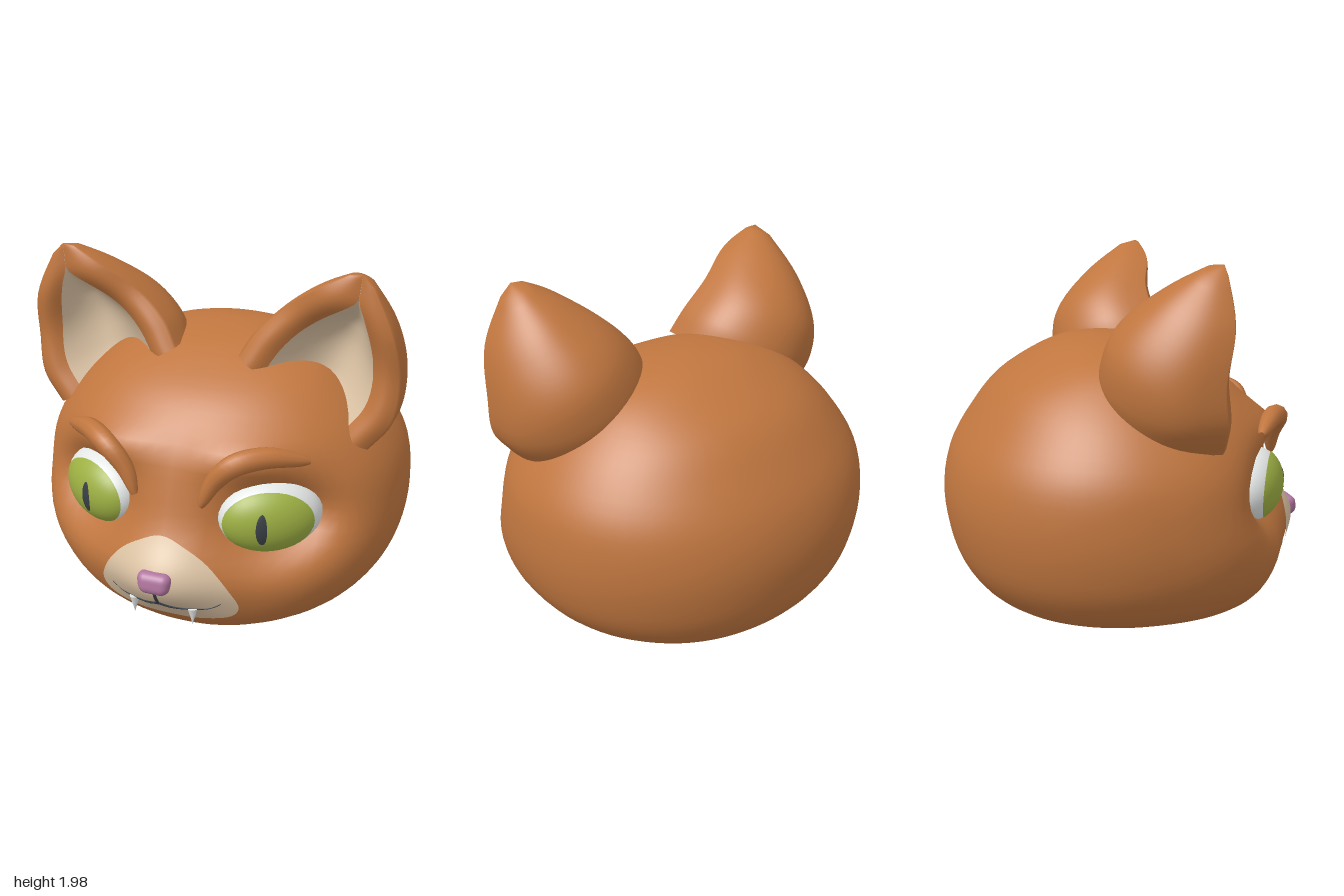
import * as THREE from 'three';
import { mergeVertices } from 'three/addons/utils/BufferGeometryUtils.js';
import { RoundedBoxGeometry } from 'three/addons/geometries/RoundedBoxGeometry.js';

const V = (x, y, z) => new THREE.Vector3(x, y, z);
const spline = (pts) => new THREE.CatmullRomCurve3(pts.map((p) => V(...p)));

function material(name, color) {
  const m = new THREE.MeshStandardMaterial({ color });
  m.name = name;
  return m;
}

// Weld seams and smooth the normals
function smooth(geo) {
  geo.deleteAttribute('uv');
  geo.deleteAttribute('normal');
  const g = mergeVertices(geo, 1e-5);
  g.computeVertexNormals();
  return g;
}

// Surface from rows and columns of points; faces (column step) x (row step)
function grid(rows, cols, fn) {
  const pos = [], idx = [];
  for (let i = 0; i <= rows; i++)
    for (let j = 0; j <= cols; j++) pos.push(...fn(i / rows, j / cols).toArray());
  for (let i = 0; i < rows; i++)
    for (let j = 0; j < cols; j++) {
      const a = i * (cols + 1) + j, d = a + cols + 1;
      idx.push(a, a + 1, d + 1, a, d + 1, d);
    }
  const g = new THREE.BufferGeometry();
  g.setAttribute('position', new THREE.Float32BufferAttribute(pos, 3));
  g.setIndex(idx);
  return smooth(g);
}

// Mirrored copy across x = 0 with corner order restored
function mirrored(geo) {
  const g = geo.clone().toNonIndexed();
  for (const key of ['position', 'normal']) {
    const a = g.attributes[key];
    for (let i = 0; i < a.count; i++) a.setX(i, -a.getX(i));
    for (let i = 0; i < a.count; i += 3) {
      const p = V().fromBufferAttribute(a, i + 1), q = V().fromBufferAttribute(a, i + 2);
      a.setXYZ(i + 1, q.x, q.y, q.z);
      a.setXYZ(i + 2, p.x, p.y, p.z);
    }
  }
  return g;
}

// Tube whose radius follows r(u)
function taperTube(curve, r, segs = 28, sides = 10) {
  const g = new THREE.TubeGeometry(curve, segs, 1, sides);
  const p = g.attributes.position, v = V();
  for (let i = 0; i < p.count; i++) {
    const u = Math.floor(i / (sides + 1)) / segs, c = curve.getPointAt(u);
    v.fromBufferAttribute(p, i).sub(c).multiplyScalar(r(u)).add(c);
    p.setXYZ(i, v.x, v.y, v.z);
  }
  return smooth(g);
}

// Head profile, sampled at even angles from chin (0) to crown (12)
const HALF = 0.785, N = 2.3;
const WIDTH = [0, 0.23, 0.49, 0.76, 0.91, 0.975, 0.985, 0.95, 0.84, 0.69, 0.52, 0.28, 0];
const FRONT = [0.16, 0.38, 0.58, 0.72, 0.79, 0.83, 0.8, 0.74, 0.64, 0.5, 0.29, 0.08, -0.15];
const BACK = [0.16, -0.16, -0.54, -0.77, -0.9, -0.96, -0.975, -0.93, -0.82, -0.69, -0.5, -0.33, -0.15];

function sample(table, k) {
  const i = Math.min(11, Math.floor(k)), t = k - i;
  const p = (n) => table[Math.max(0, Math.min(12, n))];
  const m0 = (p(i + 1) - p(i - 1)) / 2, m1 = (p(i + 2) - p(i)) / 2;
  const a = p(i), b = p(i + 1);
  return a + m0 * t + (3 * (b - a) - 2 * m0 - m1) * t * t + (2 * (a - b) + m0 + m1) * t * t * t;
}

const bell = (x, y, cx, cy, sx, sy) => Math.exp(-(((x - cx) / sx) ** 2) - ((y - cy) / sy) ** 2);

// Snout and brow ridges out, eye sockets in
function relief(x, y) {
  const ax = Math.abs(x);
  return 0.12 * bell(x, y, 0, 0.5, 0.28, 0.2)
    + 0.08 * bell(ax, y, 0.36, 1.13, 0.25, 0.1)
    - 0.25 * bell(ax, y, 0.52, 0.8, 0.26, 0.2);
}

function slice(k) {
  const f = sample(FRONT, k), b = sample(BACK, k);
  return { w: Math.max(0, sample(WIDTH, k)), mid: (f + b) / 2, r: (f - b) / 2 };
}

function headPoint(t, s) {
  const { w, mid, r } = slice(t * 12);
  const a = s * Math.PI * 2, c = Math.cos(a), q = -Math.sin(a);
  const n = q > 0 ? N : 2.1;
  const x = w * Math.sign(c) * Math.abs(c) ** (2 / n);
  const f = Math.sign(q) * Math.abs(q) ** (2 / n);
  const y = HALF - HALF * Math.cos(t * Math.PI);
  return V(x, y, mid + r * f + (f > 0 ? relief(x, y) * Math.min(1, 3 * f) : 0));
}

function frontZ(x, y) {
  const { w, mid, r } = slice(Math.acos(1 - y / HALF) / Math.PI * 12);
  const f = Math.max(0, 1 - Math.abs(x / w) ** N) ** (1 / N);
  return mid + r * f + relief(x, y) * Math.min(1, 3 * f);
}

// Ear sections run between an inner and an outer edge and bulge backwards
const earInner = spline([[0.17, 1.5, 0.25], [0.24, 1.62, 0.22], [0.38, 1.76, 0.21], [0.57, 1.9, 0.27], [0.75, 1.99, 0.26]]);
const earOuter = spline([[0.85, 1.1, 0.25], [0.96, 1.25, 0.23], [0.985, 1.45, 0.21], [0.95, 1.7, 0.26], [0.82, 1.97, 0.26]]);
const earDepth = spline([[0.51, 0, 0], [0.5, 1, 0], [0.44, 2, 0], [0.31, 3, 0], [0.06, 4, 0]]);

function earPoint(t, u, w, lip) {
  const L = earInner.getPoint(t), R = earOuter.getPoint(t);
  const close = t >= 1 ? 0 : 1;
  const h = R.clone().sub(L).multiplyScalar(0.5);
  const p = L.add(R).multiplyScalar(0.5).addScaledVector(h, u * close);
  p.z += close * (-w * earDepth.getPoint(t).x + lip * 0.1 * h.length());
  return p;
}
const bowlEdge = (t) => 0.62 * Math.max(0.01, 1 - (t / 0.82) ** 4);

function earShell(t, s) {
  const e = bowlEdge(t);
  if (s < 0.2 || s > 0.8) {
    const q = Math.min(s, 1 - s) / 0.2;
    return earPoint(t, (e + (1 - e) * q) * (s < 0.5 ? 1 : -1), 0, Math.sin(Math.PI * q));
  }
  const a = (s - 0.2) / 0.6 * Math.PI, q = Math.max(0, Math.sin(a));
  return earPoint(t, Math.cos(a), 0.72 * q ** 0.45 + 0.28 * q ** 2, 0);
}
function earBowl(t, s) {
  const e = bowlEdge(t);
  return earPoint(t, e * (2 * s - 1), 0.36 * Math.sin(Math.PI * s) * Math.min(1, e / 0.4), 0);
}

// Cap of the eye ellipsoid: opening angle, turn, horizontal squeeze, swell
function eyeCap(angle, turn, squeeze, swell) {
  const g = new THREE.SphereGeometry(1, 32, 16, 0, Math.PI * 2, 0, angle).rotateX(Math.PI / 2);
  if (squeeze < 1) {
    const p = g.attributes.position;
    for (let i = 0; i < p.count; i++) {
      const x = p.getX(i) * squeeze, y = p.getY(i);
      p.setXYZ(i, x, y, Math.sqrt(1 - x * x - y * y));
    }
  }
  g.rotateX(0.05).rotateY(turn).scale(0.265 * swell, 0.19 * swell, 0.16 * swell);
  return g.rotateY(0.61).translate(0.455, 0.82, 0.55);
}

export function createModel() {
  const fur = material('orange fur', 0xc0763f);
  const cream = material('cream', 0xdcc3a4);
  const white = material('white', 0xe4e8e6);
  const green = material('green iris', 0x9db043);
  const dark = material('dark grey', 0x3a4046);
  const pink = material('pink nose', 0xb0769f);

  const model = new THREE.Group();
  model.name = 'catHead';
  const face = new THREE.Group();
  face.name = 'turnedHead';
  face.rotation.y = 0.107;
  model.add(face);

  const add = (name, geo, mat) => {
    const m = new THREE.Mesh(geo, mat);
    m.name = name;
    face.add(m);
  };
  const addPair = (name, geo, mat) => {
    add('left' + name, geo, mat);
    add('right' + name, mirrored(geo), mat);
  };

  add('head', grid(44, 80, headPoint), fur);

  // Ears
  addPair('Ear', grid(24, 60, earShell), fur);
  addPair('InnerEar', grid(24, 14, earBowl), cream);

  // Eyes
  addPair('Eyeball', eyeCap(Math.PI, 0, 1, 1), white);
  addPair('Iris', eyeCap(1.04, -0.24, 1, 1.012), green);
  addPair('Pupil', eyeCap(0.45, -0.33, 0.24, 1.024), dark);

  // Eyebrows
  const brow = spline([[0.175, 0.91], [0.23, 1.03], [0.325, 1.135], [0.46, 1.165], [0.64, 1.125]]
    .map(([x, y]) => [x, y, frontZ(x, y) + 0.035]));
  addPair('Eyebrow', taperTube(brow, (u) => 0.056 * Math.sin(Math.PI * (0.02 + 0.96 * u)) ** 0.45), fur);

  // Muzzle patch laid on the snout
  const half = [[0.13, 0.7], [0.24, 0.62], [0.33, 0.5], [0.37, 0.38], [0.33, 0.31], [0.19, 0.28]];
  const outline = new THREE.CatmullRomCurve3([[0, 0.75], ...half, [0, 0.29],
    ...half.slice().reverse().map(([x, y]) => [-x, y])].map(([x, y]) => V(x, y, 0)), true);
  add('muzzle', grid(14, 64, (r, s) => {
    const p = outline.getPoint(s % 1);
    const x = p.x * r, y = 0.47 + (p.y - 0.47) * r;
    return V(x, y, frontZ(x, y) + 0.009);
  }), cream);

  // Nose, narrower at the bottom
  const nose = new RoundedBoxGeometry(0.185, 0.115, 0.12, 4, 0.045);
  const np = nose.attributes.position;
  for (let i = 0; i < np.count; i++) np.setX(i, np.getX(i) * (0.92 + 1.6 * np.getY(i)));
  add('nose', smooth(nose.rotateX(-0.15).translate(0, 0.54, 0.922)), pink);

  // Mouth and fangs
  const onSnout = (pts) => spline(pts.map(([x, y]) => [x, y, frontZ(x, y) + 0.009]));
  add('lipCleft', taperTube(onSnout([[0, 0.51], [0, 0.46], [0, 0.4]]), () => 0.009, 8, 6), dark);
  addPair('Mouth', taperTube(onSnout([[0, 0.41], [0.06, 0.385], [0.15, 0.375], [0.24, 0.38], [0.295, 0.41]]),
    (u) => 0.009 * (1 - 0.7 * u), 16, 6), dark);
  const fang = new THREE.ConeGeometry(0.026, 0.095, 10).rotateX(Math.PI);
  addPair('Fang', fang.translate(0.158, 0.33, frontZ(0.158, 0.37) + 0.008), white);

  return model;
}
